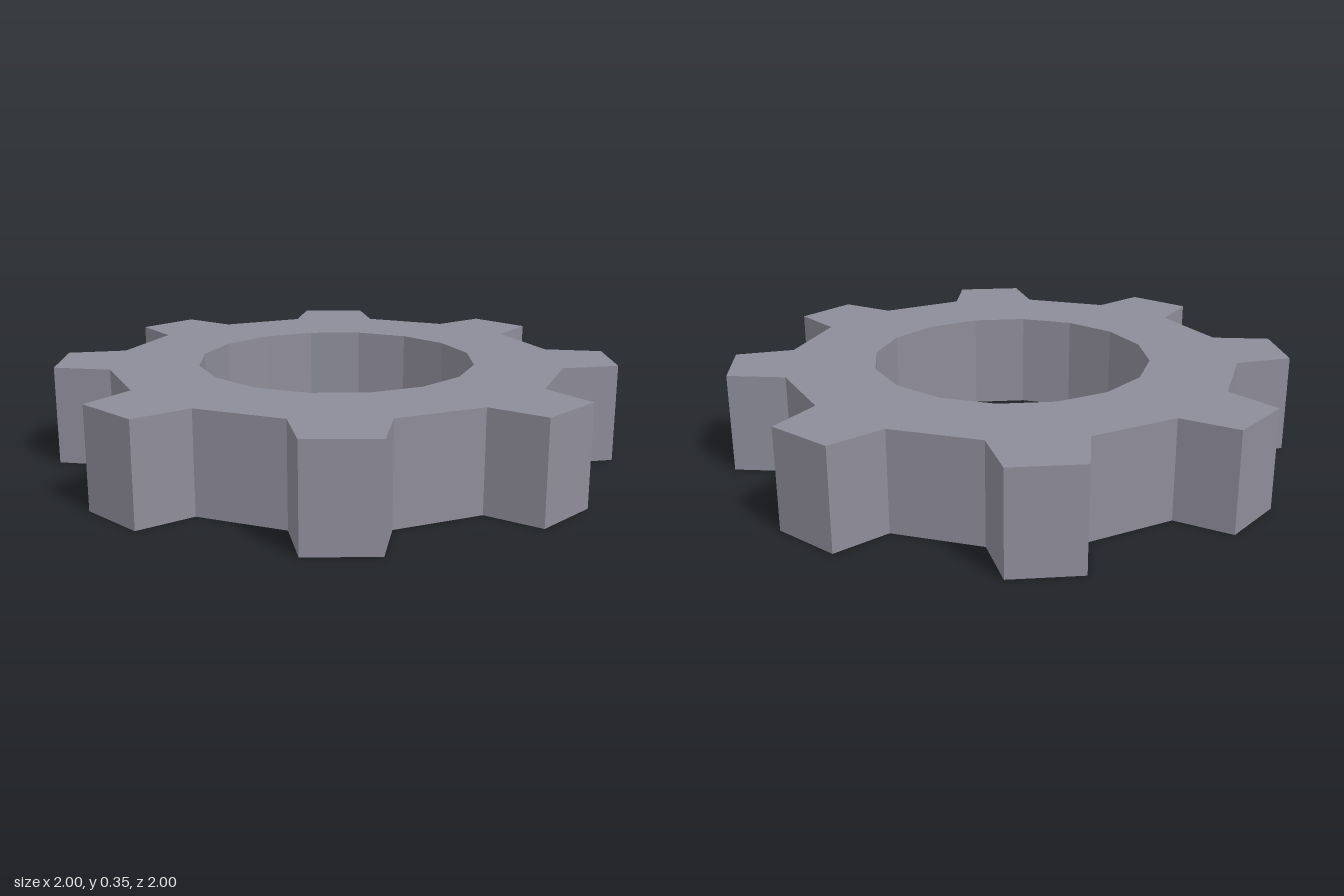
import * as THREE from 'three';

const TEETH = 8, BORE_SIDES = 16;
const HEIGHT = 0.35, ROOT_R = 0.807, TIP_R = 1.003, BORE_R = 0.497;

const polar = (radius, degrees) => {
  const a = THREE.MathUtils.degToRad(degrees);
  return new THREE.Vector2(radius * Math.cos(a), radius * Math.sin(a));
};

export function createModel() {
  const group = new THREE.Group();
  group.name = 'gear';

  // Toothed outline: root, tip, tip, root for each tooth
  const outline = [];
  const pitch = 360 / TEETH;
  for (let i = 0; i < TEETH; i++) {
    const a = i * pitch;
    outline.push(
      polar(ROOT_R, a),
      polar(TIP_R, a + 4.3),
      polar(TIP_R, a + 18.2),
      polar(ROOT_R, a + pitch / 2)
    );
  }
  const shape = new THREE.Shape(outline);

  // Faceted central bore
  const bore = [];
  for (let i = 0; i < BORE_SIDES; i++) bore.push(polar(BORE_R, (-i * 360) / BORE_SIDES));
  shape.holes.push(new THREE.Path(bore));

  // Extrude, then lay flat on the ground
  const geometry = new THREE.ExtrudeGeometry(shape, { depth: HEIGHT, bevelEnabled: false });
  geometry.rotateX(Math.PI / 2).translate(0, HEIGHT, 0);

  // Blue-grey steel
  const material = new THREE.MeshStandardMaterial({ color: 0x8d8c99, flatShading: true });
  const wheel = new THREE.Mesh(geometry, material);
  wheel.name = 'gearWheel';
  group.add(wheel);
  return group;
}
